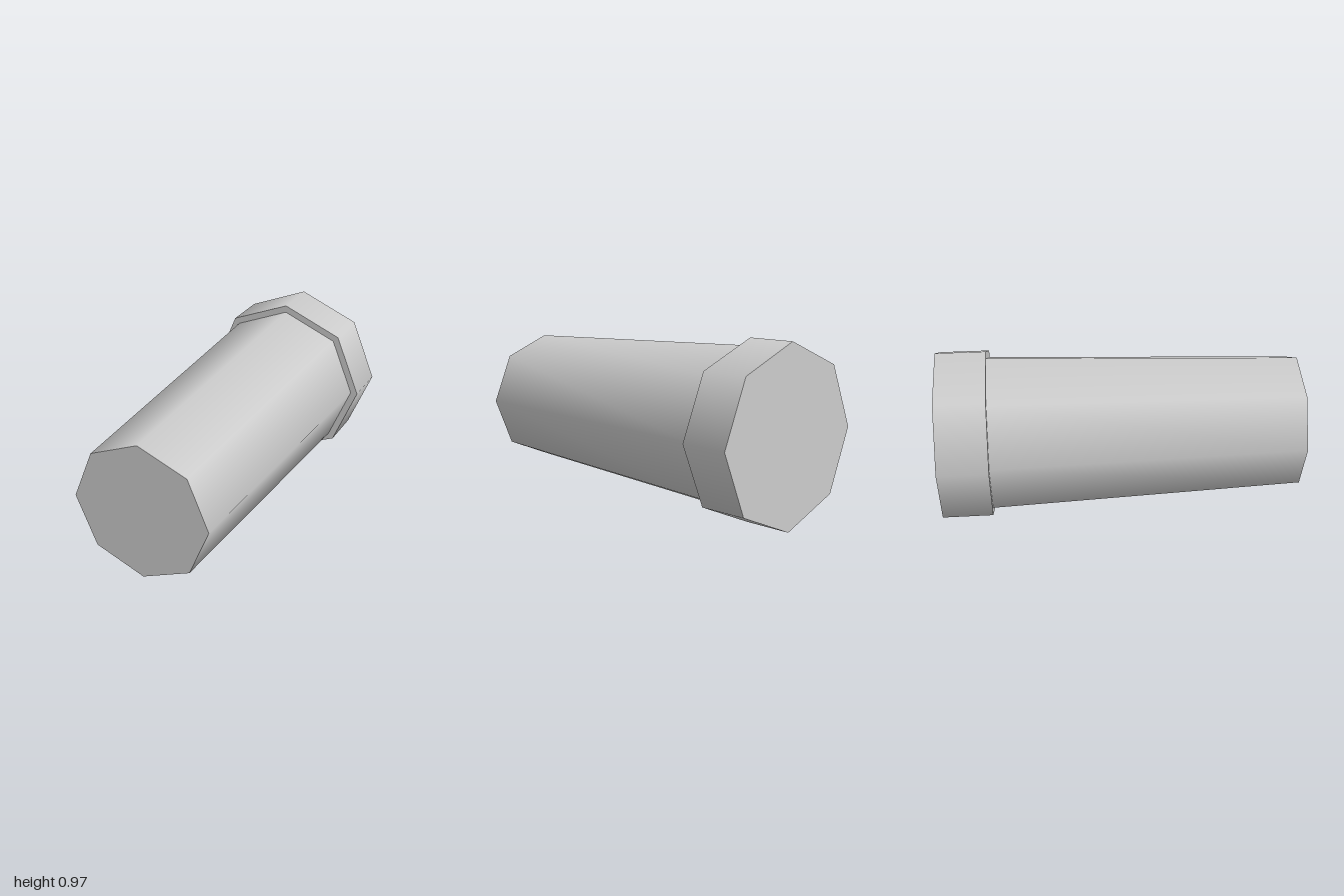
import * as THREE from 'three';

const SIDES = 8;
const COLLAR_RADIUS = 0.486;
const STEP_Z = -0.725; // where the tapered body meets the collar

export function createModel() {
  const group = new THREE.Group();
  group.name = 'taperedPlug';

  const grey = new THREE.MeshStandardMaterial({ color: 0xcccccc });
  grey.name = 'light grey';

  // Smooth-shaded octagonal section lying along z, from zBack to zFront
  function addSection(name, frontRadius, backRadius, zFront, zBack) {
    const geometry = new THREE.CylinderGeometry(frontRadius, backRadius, zFront - zBack, SIDES);
    geometry.rotateX(Math.PI / 2);
    const mesh = new THREE.Mesh(geometry, grey);
    mesh.name = name;
    mesh.position.set(0, COLLAR_RADIUS, (zFront + zBack) / 2);
    group.add(mesh);
  }

  // Long body, narrowing towards the front
  addSection('taperedBody', 0.382, 0.445, 1, STEP_Z);

  // Wider straight collar at the back
  addSection('collar', COLLAR_RADIUS, COLLAR_RADIUS, STEP_Z, -1);

  return group;
}
